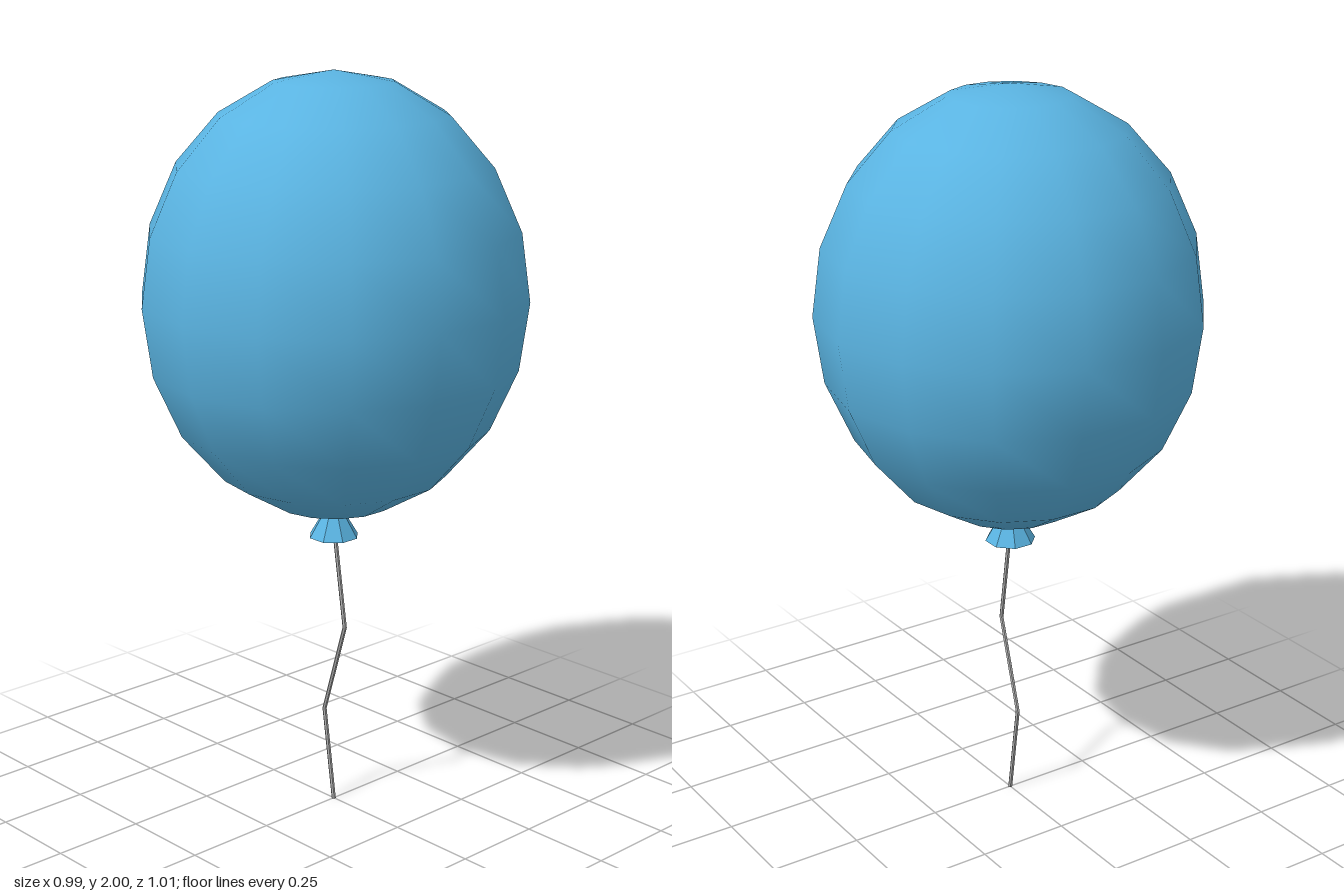
import * as THREE from 'three';

export function createModel() {
  const balloonBlue = new THREE.MeshStandardMaterial({ color: 0x5ab4e2 });
  balloonBlue.name = 'balloonBlue';
  const knotBlue = balloonBlue.clone();
  knotBlue.name = 'knotBlue';
  knotBlue.flatShading = true;
  const stringGrey = new THREE.MeshStandardMaterial({ color: 0xb0b0b0, flatShading: true });
  stringGrey.name = 'stringGrey';

  const model = new THREE.Group();
  model.name = 'balloon';
  const add = (name, geometry, material, y) => {
    const mesh = new THREE.Mesh(geometry, material);
    mesh.name = name;
    mesh.position.y = y;
    model.add(mesh);
  };

  // Envelope: smooth-shaded 14-sided ellipsoid with a corner facing front
  const envelope = new THREE.SphereGeometry(1, 14, 10);
  envelope.rotateY(Math.PI / 2);
  envelope.scale(0.507, 0.582, 0.507);
  add('envelope', envelope, balloonBlue, 1.418);

  // Knot: small flared cone under the envelope, flat side to the front
  const knot = new THREE.CylinderGeometry(0.022, 0.068, 0.077, 8);
  knot.rotateY(Math.PI / 8);
  add('knot', knot, knotBlue, 0.8065);

  // String: thin column whose rings are shifted sideways into a zigzag
  const offsets = [0, -0.037, 0.043, 0.004];
  const length = 0.775;
  const string = new THREE.CylinderGeometry(0.006, 0.006, length, 6, 3);
  string.translate(0, length / 2, 0);
  const p = string.attributes.position;
  for (let i = 0; i < p.count; i++) {
    const ring = Math.round((p.getY(i) / length) * 3);
    p.setX(i, p.getX(i) + offsets[ring]);
  }
  string.computeVertexNormals();
  add('string', string, stringGrey, 0);

  return model;
}
